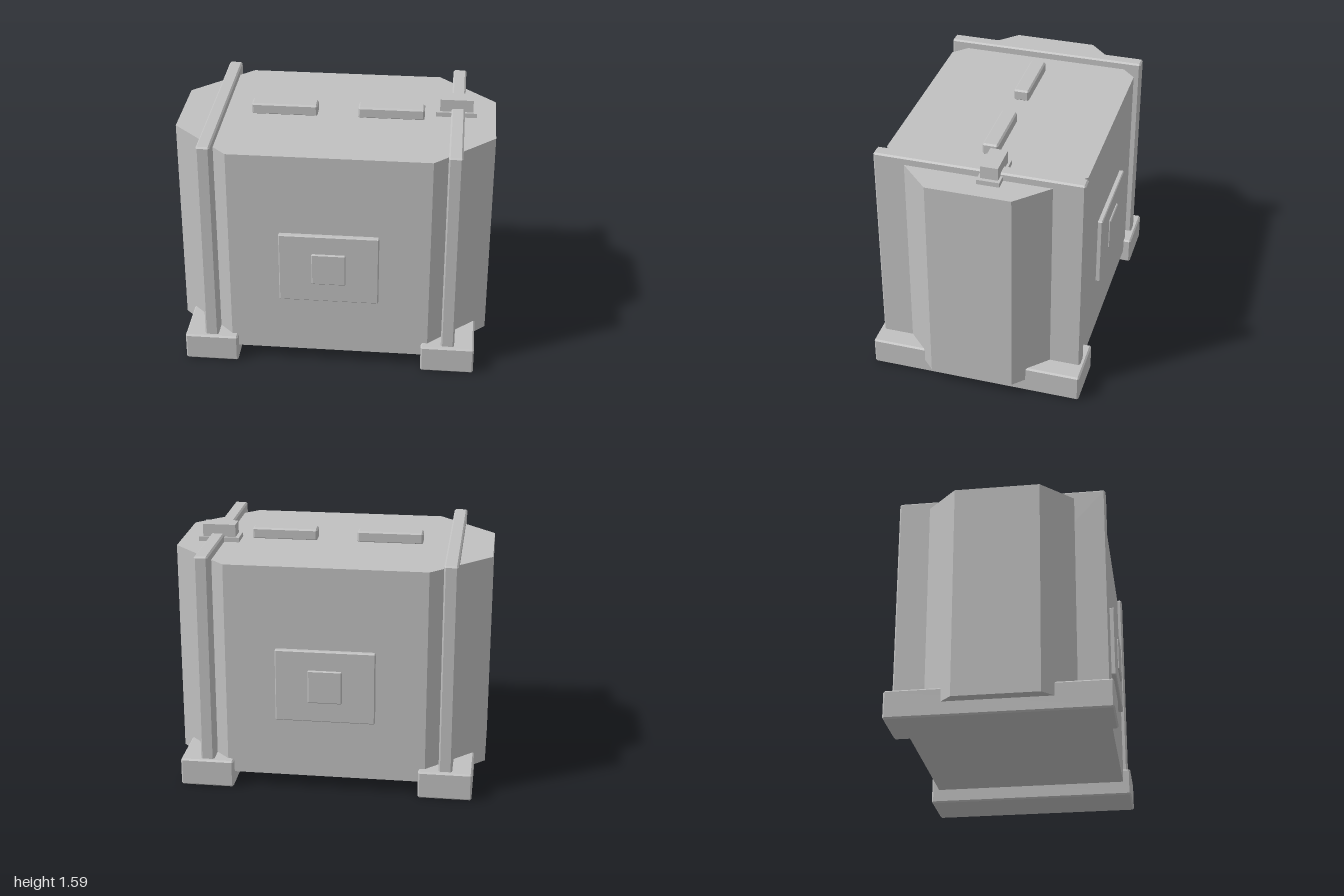
import * as THREE from 'three';
import { ConvexGeometry } from 'three/addons/geometries/ConvexGeometry.js';

const grey = new THREE.MeshStandardMaterial({ color: 0xc0c0c0 });
grey.name = 'grey';

// Box between two corners with all edges chamfered by b
function chamferBox(min, max, b) {
  const centre = min.map((v, i) => (v + max[i]) / 2);
  const half = min.map((v, i) => (max[i] - v) / 2);
  const points = [];
  for (let axis = 0; axis < 3; axis++)
    for (const sx of [-1, 1]) for (const sy of [-1, 1]) for (const sz of [-1, 1]) {
      const p = [sx, sy, sz].map((s, i) => centre[i] + s * (half[i] - (i === axis ? 0 : b)));
      points.push(new THREE.Vector3(...p));
    }
  return new ConvexGeometry(points);
}

export function createModel() {
  const model = new THREE.Group();
  model.name = 'crate';

  const add = (name, geometry) => {
    const mesh = new THREE.Mesh(geometry, grey);
    mesh.name = name;
    model.add(mesh);
  };
  const box = (name, min, max, b = 0.01) => {
    if (b) return add(name, chamferBox(min, max, b));
    const size = max.map((v, i) => v - min[i]);
    add(name, new THREE.BoxGeometry(...size).translate(...max.map((v, i) => (v + min[i]) / 2)));
  };

  // Eight-sided body
  const outline = [[0.63, 0.63], [1, 0.265], [1, -0.265], [0.63, -0.63],
    [-0.63, -0.63], [-1, -0.265], [-1, 0.265], [-0.63, 0.63]];
  const shape = new THREE.Shape(outline.map(([x, z]) => new THREE.Vector2(x, -z)));
  const body = new THREE.ExtrudeGeometry(shape, { depth: 1.39, bevelEnabled: false });
  add('body', body.rotateX(-Math.PI / 2).translate(0, 0.09, 0));

  for (const s of [-1, 1]) {
    const side = s > 0 ? 'left' : 'right';
    const x = s * 0.76;
    // Foot beam, strap frame and top handle on each side
    box(side + 'Foot', [x - 0.17, 0, -0.68], [x + 0.17, 0.18, 0.68]);
    box(side + 'Strap', [x - 0.043, 0.05, -0.655], [x + 0.043, 1.53, 0.655]);
    box(side + 'Handle', [s * 0.34 - 0.21, 1.475, -0.05], [s * 0.34 + 0.21, 1.55, 0.05]);

    // Panel and raised button on front and back
    const end = s > 0 ? 'front' : 'back';
    const plate = (name, w, y0, y1, z) =>
      box(end + name, [-w, y0, Math.min(s * 0.6, s * z)], [w, y1, Math.max(s * 0.6, s * z)], 0.006);
    plate('Panel', 0.313, 0.48, 0.95, 0.66);
    plate('Button', 0.107, 0.61, 0.825, 0.672);
  }

  // Latch over the left strap
  box('latchBase', [0.62, 1.48, -0.157], [0.88, 1.51, -0.015], 0);
  box('latchBlock', [0.645, 1.51, -0.142], [0.855, 1.59, -0.033], 0);
  return model;
}
